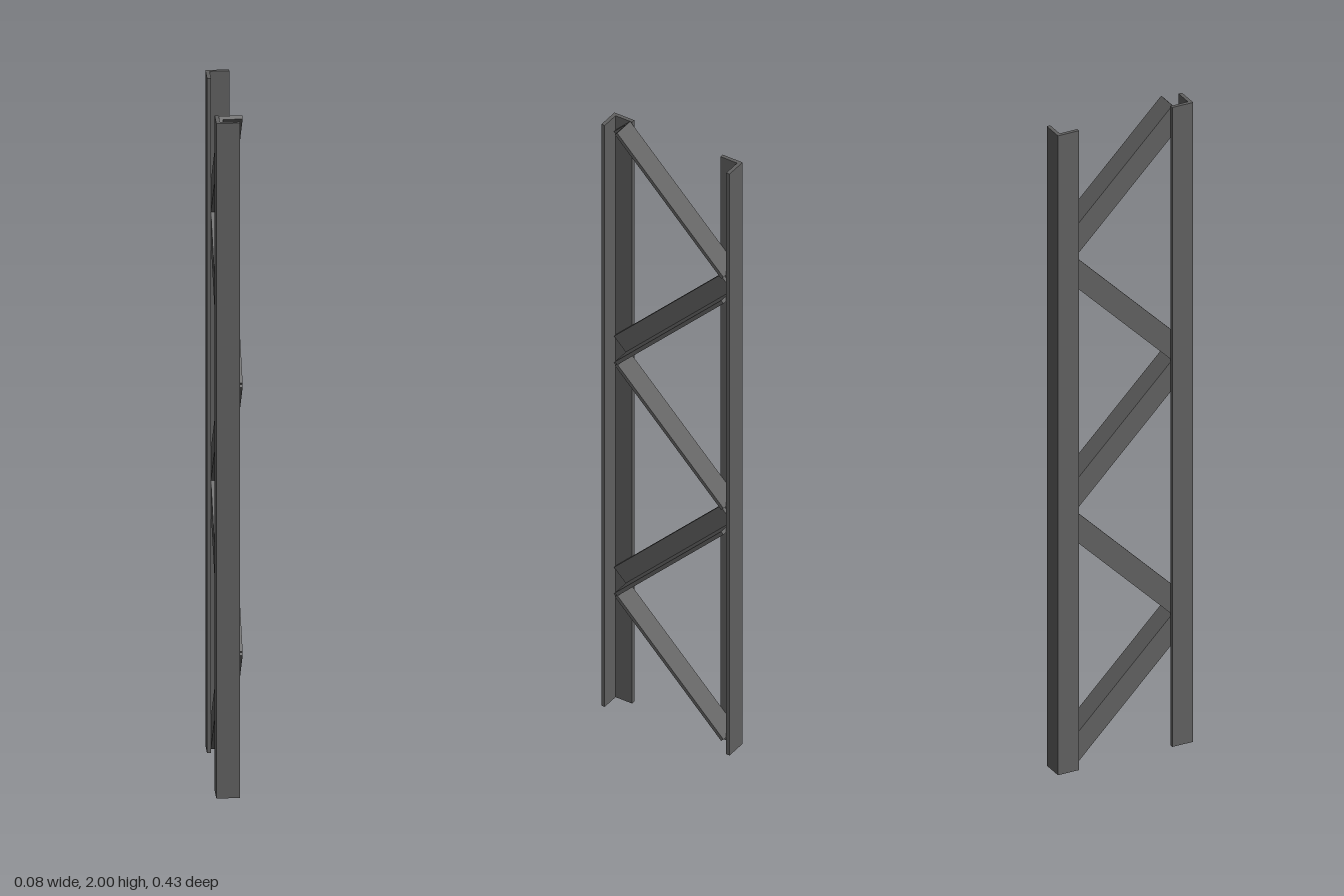
import * as THREE from 'three';

const W = 0.066;      // leg width of the angle section
const T = 0.011;      // leg thickness
const SPACING = 0.3975;

// L-shaped bar: web on the x = 0 side, leg along the top edge, running along z
function angleBar(length) {
  const h = W / 2;
  const shape = new THREE.Shape([
    [0, -h], [T, -h], [T, h - T], [W, h - T], [W, h], [0, h],
  ].map(([x, y]) => new THREE.Vector2(x, y)));
  const geometry = new THREE.ExtrudeGeometry(shape, { depth: length, bevelEnabled: false });
  return geometry.translate(0, 0, -length / 2);
}

export function createModel() {
  const group = new THREE.Group();
  const material = new THREE.MeshStandardMaterial({ color: 0x606060 });

  function addBar(name, geometry, x, y, z, angle) {
    const bar = new THREE.Mesh(geometry, material);
    bar.name = name;
    bar.position.set(x, y, z);
    bar.rotation.x = angle;
    group.add(bar);
  }

  // Two upright chords, legs facing outwards
  const chord = angleBar(2);
  addBar('frontChord', chord, -0.0385, 1, 0.18, Math.PI / 2);
  addBar('backChord', chord, -0.0385, 1, -0.18, -Math.PI / 2);

  // Zigzag of diagonal braces resting on the inside of the chord webs
  const brace = angleBar(0.5);
  for (let i = 0; i < 5; i++) {
    const angle = i % 2 === 0 ? -Math.PI / 4 : -3 * Math.PI / 4;
    addBar('diagonalBrace' + (i + 1), brace, -0.0385 + T, 1.8 - i * SPACING, 0, angle);
  }
  return group;
}
